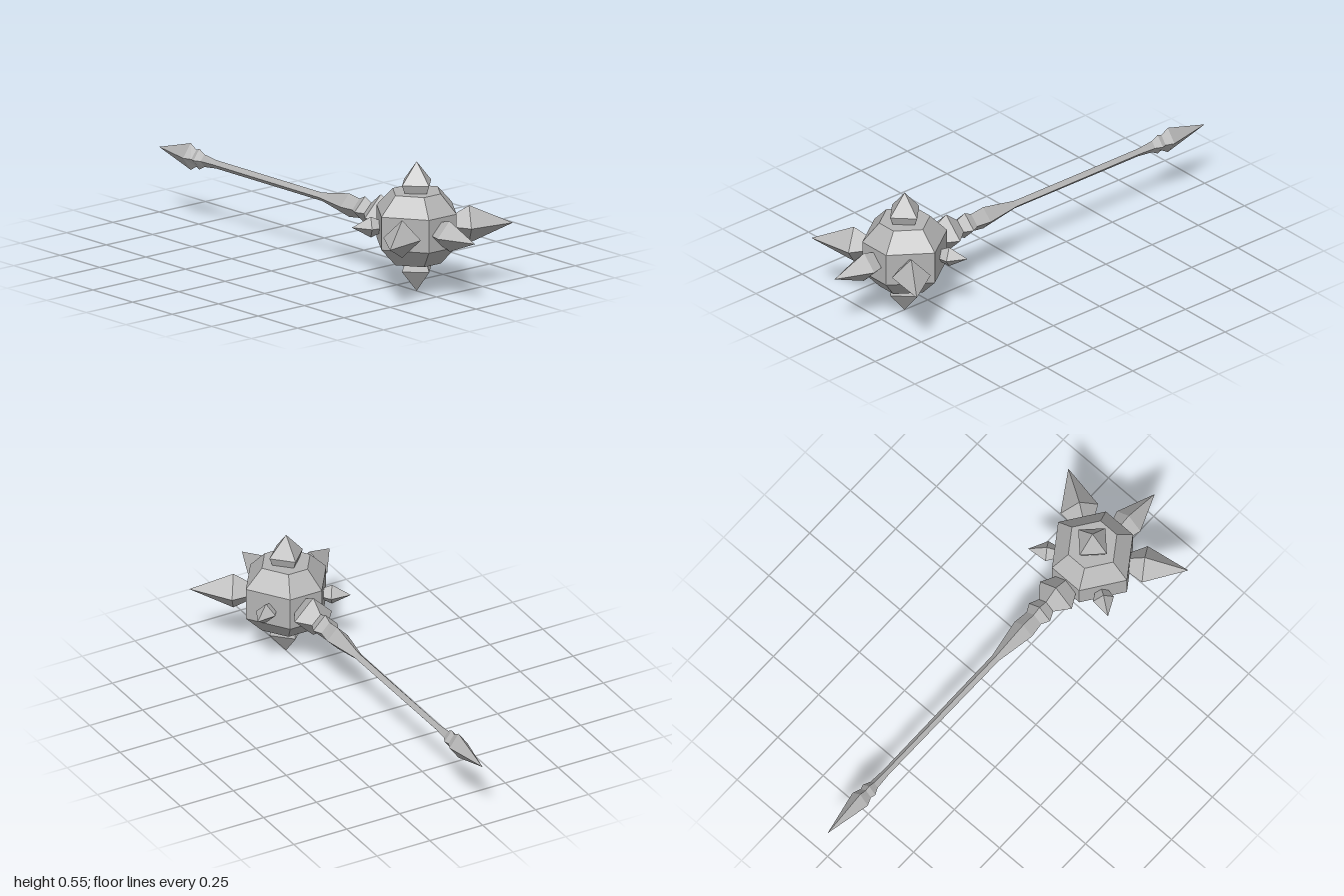
import * as THREE from 'three';

const DIAMOND = [[0, 1], [1, 0], [0, -1], [-1, 0]];
const HEXAGON = [[0, 0.19], [0.165, 0.075], [0.165, -0.075], [0, -0.19], [-0.165, -0.075], [-0.165, 0.075]];

// Faceted solid along y: an outline scaled by each section [y, scaleX, scaleZ]
function loft(outline, sections) {
  const n = outline.length, pos = [];
  const point = (i, j) => {
    const [y, sx, sz = sx] = sections[i];
    const [u, v] = outline[j % n];
    return [u * sx, y, v * sz];
  };
  const tri = (a, b, c) => pos.push(...a, ...b, ...c);
  const last = sections.length - 1;
  for (let i = 0; i < last; i++) {
    for (let j = 0; j < n; j++) {
      const a = point(i, j), b = point(i, j + 1), c = point(i + 1, j + 1), d = point(i + 1, j);
      if (sections[i][1] > 0) tri(a, b, c);
      if (sections[i + 1][1] > 0) tri(a, c, d);
      // a section of zero size is a tip, so only one triangle is needed there
      if (sections[i][1] === 0) tri(a, b, c);
    }
  }
  for (let j = 1; j < n - 1; j++) {
    if (sections[0][1] > 0) tri(point(0, 0), point(0, j + 1), point(0, j));
    if (sections[last][1] > 0) tri(point(last, 0), point(last, j), point(last, j + 1));
  }
  const geo = new THREE.BufferGeometry();
  geo.setAttribute('position', new THREE.Float32BufferAttribute(pos, 3));
  geo.computeVertexNormals();
  return geo;
}

export function createModel() {
  const model = new THREE.Group();
  model.name = 'spikedMace';
  const steel = new THREE.MeshStandardMaterial({ color: 0xb4b4b4 });
  steel.name = 'steelGrey';

  const add = (name, geo, parent) => {
    const mesh = new THREE.Mesh(geo, steel);
    mesh.name = name;
    parent.add(mesh);
    return mesh;
  };

  // Handle with pointed pommel, collars and a flared neck: [x, half height, half depth]
  const handle = add('handle', loft(DIAMOND, [
    [-1, 0, 0], [-0.8, 0.057, 0.042], [-0.765, 0.036, 0.028], [-0.745, 0.044, 0.034],
    [-0.715, 0.027, 0.02], [-0.64, 0.018, 0.015], [0.03, 0.018, 0.018], [0.2, 0.05, 0.048],
    [0.265, 0.041, 0.04], [0.3, 0.058, 0.058], [0.34, 0.04, 0.04], [0.4, 0.088, 0.088],
    [0.48, 0.045, 0.045],
  ]), model);
  handle.position.y = 0.277;
  handle.rotation.z = -Math.PI / 2;

  // Six-sided head with bevelled top and bottom
  const head = new THREE.Group();
  head.name = 'head';
  head.position.set(0.625, 0.277, 0);
  model.add(head);
  add('headCore', loft(HEXAGON, [
    [-0.148, 0.6], [-0.07, 1], [0.07, 1], [0.148, 0.6],
  ]), head);

  // Spikes on the head: base, widest section, tip
  const spike = (name, base, baseR, mid, midR, tip) =>
    add(name, loft(DIAMOND, [[base, baseR], [mid, midR], [tip, 0]]), head);

  spike('topSpike', 0.14, 0.061, 0.183, 0.079, 0.274);
  spike('bottomSpike', 0.14, 0.061, 0.183, 0.079, 0.277).rotation.z = Math.PI;

  const sideways = (mesh, dx, dz) => mesh.rotation.set(0, Math.atan2(-dz, dx), -Math.PI / 2);
  const endSpike = spike('endSpike', 0.15, 0.047, 0.215, 0.065, 0.375);
  sideways(endSpike, 1, 0);
  endSpike.position.z = 0.006;
  for (const side of [1, -1]) {
    const label = side > 0 ? 'front' : 'back';
    sideways(spike(label + 'LargeSpike', 0.15, 0.042, 0.217, 0.08, 0.398), 0.22, 0.332 * side);
    sideways(spike(label + 'SmallSpike', 0.15, 0.027, 0.189, 0.044, 0.267), -0.15, 0.22 * side);
  }
  return model;
}
